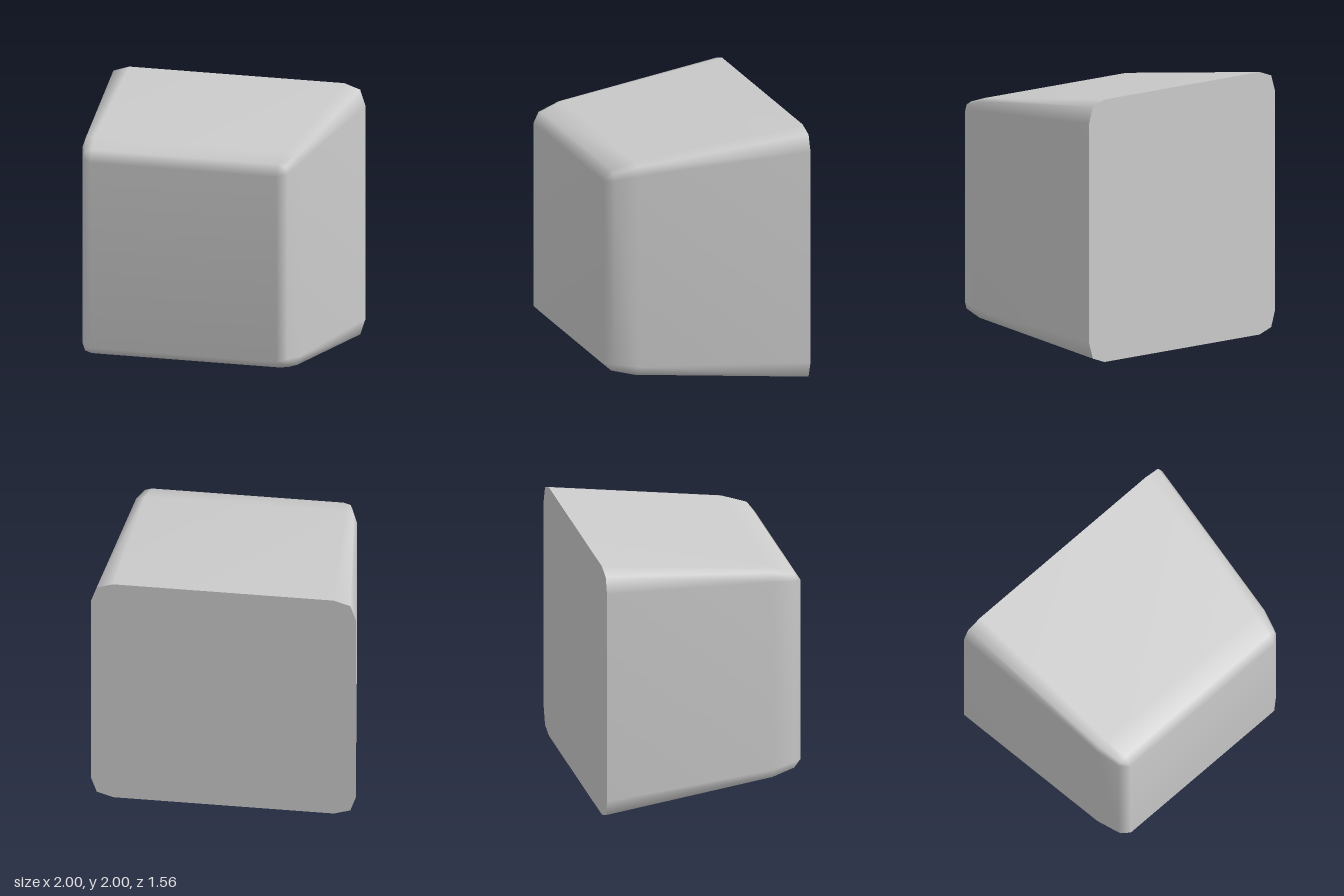
import * as THREE from 'three';
import { mergeVertices } from 'three/addons/utils/BufferGeometryUtils.js';

// Rings from back to front: depth, half size, corner inset, centre height
const RINGS = [
  { z: -0.78, half: 1, inset: 0.165, y: 1 },
  { z: 0.54, half: 0.845, inset: 0.09, y: 0.997 },
  { z: 0.72, half: 0.795, inset: 0.07, y: 0.994 },
  { z: 0.78, half: 0.725, inset: 0, y: 0.983 },
];

// Square with two-step bevelled corners, counterclockwise seen from +z
function ringPoints({ z, half, inset, y }) {
  const points = [];
  for (let i = 0; i < 4; i++) {
    const corner = [
      [half, half - inset],
      [half - inset * 0.25, half - inset * 0.25],
      [half - inset, half],
    ];
    for (const [px, py] of corner) {
      const p = new THREE.Vector2(px, py).rotateAround(new THREE.Vector2(), i * Math.PI / 2);
      points.push(new THREE.Vector3(p.x, p.y + y, z));
    }
  }
  return points;
}

// Tapered sides, rounded front rim and front face, smoothly shaded
function shellGeometry() {
  const n = 12;
  const points = RINGS.flatMap(ringPoints);
  const index = [];
  for (let r = 0; r < RINGS.length - 1; r++) {
    for (let i = 0; i < n; i++) {
      const a = r * n + i;
      const b = r * n + (i + 1) % n;
      index.push(a, b, b + n, a, b + n, a + n);
    }
  }
  const f = (RINGS.length - 1) * n;
  index.push(f, f + 3, f + 6, f, f + 6, f + 9);

  let geometry = new THREE.BufferGeometry().setFromPoints(points);
  geometry.setIndex(index);
  geometry = mergeVertices(geometry, 1e-4); // the front ring's corners meet in single points
  geometry.computeVertexNormals();
  return geometry;
}

export function createModel() {
  const group = new THREE.Group();
  group.name = 'taperedBlock';
  const material = new THREE.MeshStandardMaterial({ color: 0xcccccc });

  const shell = new THREE.Mesh(shellGeometry(), material);
  shell.name = 'roundedShell';
  group.add(shell);

  // Flat back with a sharp edge
  const outline = ringPoints(RINGS[0]).map(p => new THREE.Vector2(p.x, p.y));
  const back = new THREE.Mesh(new THREE.ShapeGeometry(new THREE.Shape(outline)), material);
  back.name = 'backFace';
  back.rotation.y = Math.PI;
  back.position.z = RINGS[0].z;
  group.add(back);

  return group;
}
